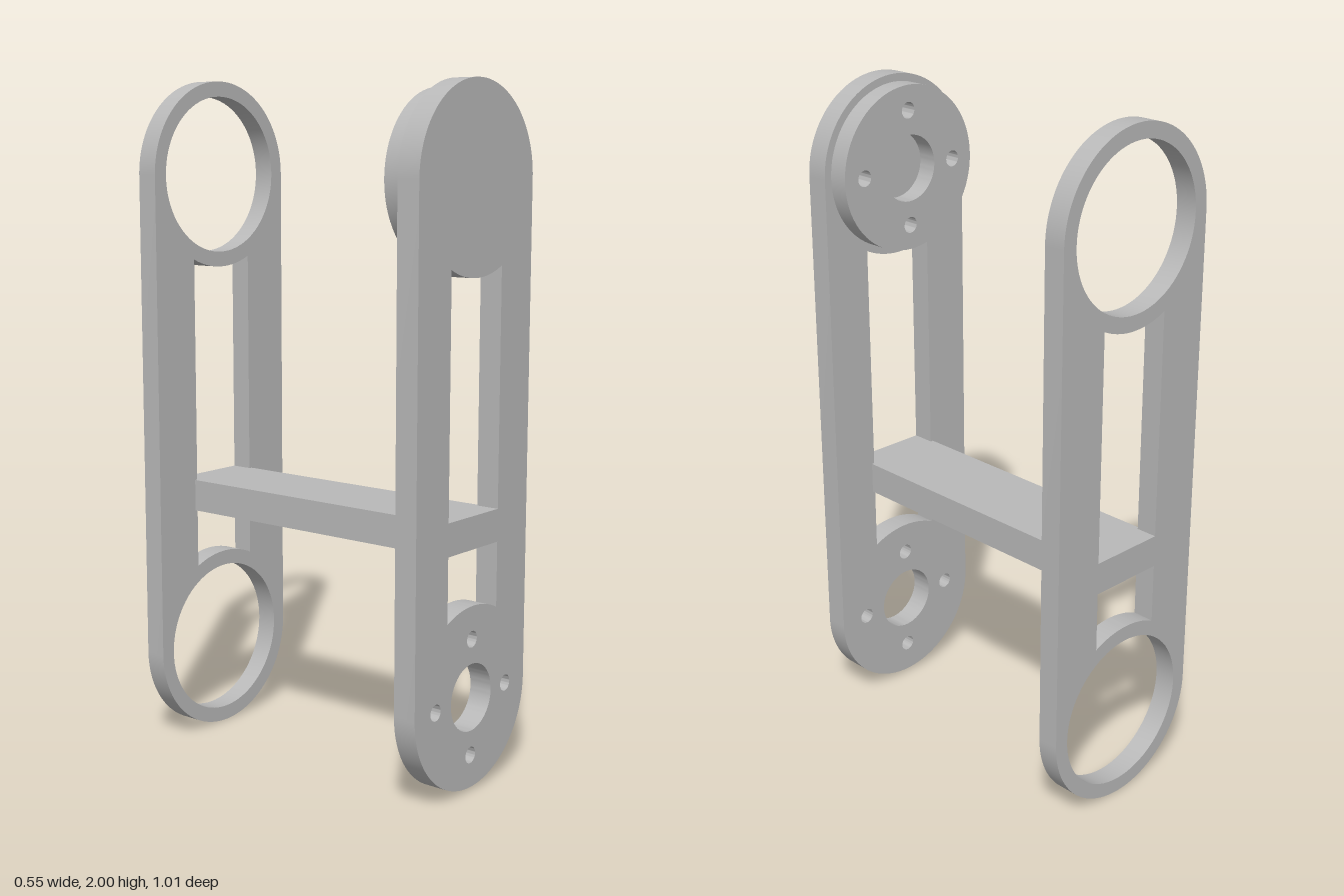
import * as THREE from 'three';
import { toCreasedNormals } from 'three/addons/utils/BufferGeometryUtils.js';

const LOW = 0.277, HIGH = 1.723;    // centres of the rounded plate ends
const WINDOW = 0.119;               // half width of the plate windows
const BAR_LOW = 0.705, BAR_HIGH = 0.8;

const material = new THREE.MeshStandardMaterial({ color: 0xb8b8b8 });
material.name = 'plain grey';

function circle(x, y, r) {
  return new THREE.Path().absarc(x, y, r, 0, Math.PI * 2, true);
}

// Large bore with four screw holes around it
function hubHoles(y) {
  const holes = [circle(0, y, 0.098)];
  for (let i = 0; i < 4; i++) {
    const a = i * Math.PI / 2;
    holes.push(circle(0.17 * Math.cos(a), y + 0.17 * Math.sin(a), 0.024));
  }
  return holes;
}

// Window with one straight edge at the bar and one edge curved around a plate end
function windowHole(straightY, centreY, r) {
  const a = Math.asin(WINDOW / r);
  const up = centreY < straightY;
  const path = new THREE.Path();
  path.moveTo(-WINDOW, straightY);
  path.lineTo(WINDOW, straightY);
  if (up) path.absarc(0, centreY, r, Math.PI / 2 - a, Math.PI / 2 + a, false);
  else path.absarc(0, centreY, r, -Math.PI / 2 + a, -Math.PI / 2 - a, true);
  path.closePath();
  return path;
}

// Stadium-shaped plate outline with its two windows
function plateShape(r) {
  const shape = new THREE.Shape();
  shape.absarc(0, HIGH, r, 0, Math.PI, false);
  shape.absarc(0, LOW, r, Math.PI, Math.PI * 2, false);
  shape.closePath();
  shape.holes.push(windowHole(BAR_LOW, LOW, r), windowHole(BAR_HIGH, HIGH, r));
  return shape;
}

function extrude(name, shape, z0, z1) {
  const geometry = new THREE.ExtrudeGeometry(shape, {
    depth: z1 - z0, bevelEnabled: false, curveSegments: 40,
  });
  geometry.translate(0, 0, z0);
  const mesh = new THREE.Mesh(toCreasedNormals(geometry, 0.6), material);
  mesh.name = name;
  return mesh;
}

export function createModel() {
  const group = new THREE.Group();
  group.name = 'linkBracket';

  // Front plate: solid top end, drilled bottom end
  const front = plateShape(0.266);
  front.holes.push(...hubHoles(LOW));
  group.add(extrude('frontPlate', front, 0.435, 0.505));

  // Drilled disc on the inner side of the front plate
  const disc = new THREE.Shape().absarc(0, HIGH, 0.243, 0, Math.PI * 2, false);
  disc.holes.push(...hubHoles(HIGH));
  group.add(extrude('mountingDisc', disc, 0.374, 0.435));

  // Back plate: a wide ring at each end
  const back = plateShape(0.277);
  back.holes.push(circle(0, LOW, 0.232), circle(0, HIGH, 0.232));
  group.add(extrude('backPlate', back, -0.505, -0.44));

  // Bar joining the two plates
  const bar = new THREE.Mesh(
    new THREE.BoxGeometry(0.256, BAR_HIGH - BAR_LOW, 0.875), material);
  bar.position.set(0, (BAR_LOW + BAR_HIGH) / 2, -0.0025);
  bar.name = 'crossBar';
  group.add(bar);

  return group;
}
